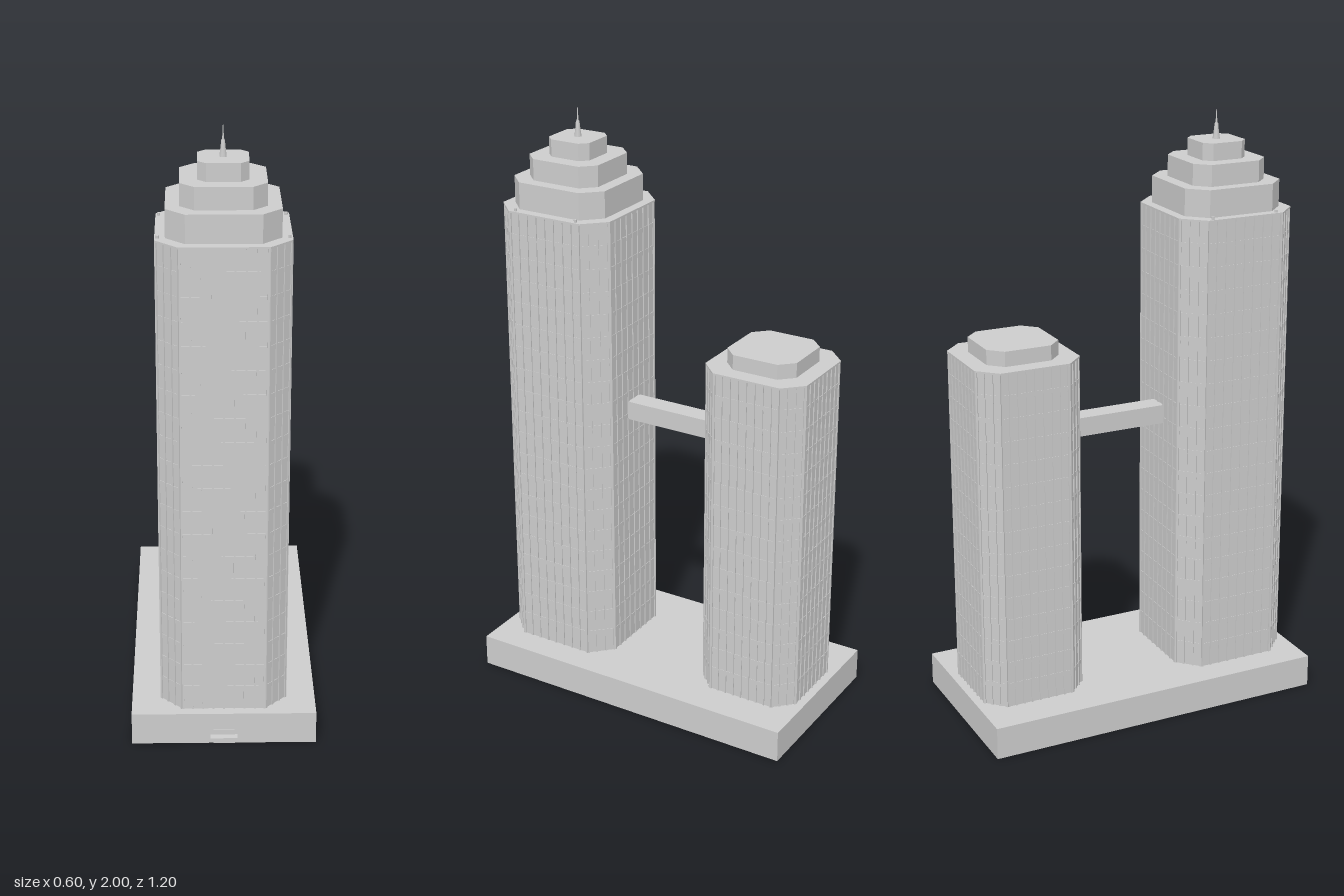
import * as THREE from 'three';
import { mergeGeometries } from 'three/addons/utils/BufferGeometryUtils.js';

// Double sided because the podium is an open shell underneath
const concrete = new THREE.MeshStandardMaterial({ color: 0xcccccc, side: THREE.DoubleSide });
concrete.name = 'concrete grey';

function add(parent, name, geometry, x = 0, y = 0, z = 0) {
  const mesh = new THREE.Mesh(geometry, concrete);
  mesh.name = name;
  mesh.position.set(x, y, z);
  parent.add(mesh);
  return mesh;
}

// Box given by its extents
function block(parent, name, x0, x1, y0, y1, z0, z1) {
  return add(parent, name, new THREE.BoxGeometry(x1 - x0, y1 - y0, z1 - z0),
    (x0 + x1) / 2, (y0 + y1) / 2, (z0 + z1) / 2);
}

// Square prism with chamfered corners, standing on y = 0
function chamferedPrism(half, chamfer, height) {
  const f = half - chamfer;
  const shape = new THREE.Shape([
    [f, -half], [half, -f], [half, f], [f, half],
    [-f, half], [-half, f], [-half, -f], [-f, -half],
  ].map(([x, y]) => new THREE.Vector2(x, y)));
  return new THREE.ExtrudeGeometry(shape, { depth: height, bevelEnabled: false }).rotateX(-Math.PI / 2);
}

// Shallow vertical ribs and floor bands on all eight sides of a shaft
function facade(half, chamfer, height, floors, depth) {
  const pieces = [];
  for (let side = 0; side < 8; side++) {
    const flat = side % 2 === 0;
    const width = flat ? 2 * (half - chamfer) : chamfer * Math.SQRT2;
    const distance = flat ? half : (2 * half - chamfer) / Math.SQRT2;
    const bays = flat ? 8 : 3;
    const bay = width / bays;
    const place = (w, h, d, x, y) => pieces.push(new THREE.BoxGeometry(w, h, d)
      .translate(x, y, distance + d / 2).rotateY(side * Math.PI / 4));
    for (let i = 0; i <= bays; i++) {
      const x = THREE.MathUtils.clamp(-width / 2 + i * bay, -width / 2 + 0.003, width / 2 - 0.003);
      place(0.006, height, depth, x, height / 2);
    }
    for (let j = 1; j < floors; j++) {
      place(width, 0.016, depth * 0.4, 0, j * height / floors);
    }
  }
  return mergeGeometries(pieces);
}

function tower(name, z, half, chamfer, y0, y1, floors) {
  const group = new THREE.Group();
  group.name = name;
  group.position.set(0, y0, z);
  const depth = 0.004, height = y1 - y0;
  add(group, 'shaft', chamferedPrism(half - depth, chamfer - 0.002, height));
  add(group, 'facadeRibs', facade(half - depth, chamfer - 0.002, height - 0.006, floors, depth));
  add(group, 'roofEdge', chamferedPrism(half, chamfer, 0.006), 0, height - 0.006, 0);
  return group;
}

export function createModel() {
  const model = new THREE.Group();
  model.name = 'twinTowers';

  // Podium: four walls and a roof, open underneath
  const podium = block(model, 'podium', -0.3, 0.3, 0, 0.11, -0.6, 0.577);
  const faces = Array.from(podium.geometry.index.array);
  faces.splice(18, 6); // drop the bottom face
  podium.geometry.setIndex(faces);
  podium.geometry.clearGroups();

  // Entrance
  block(model, 'door', -0.035, 0.035, 0, 0.05, 0.577, 0.5785);
  block(model, 'entranceCanopy', -0.044, 0.044, 0.029, 0.032, 0.577, 0.6);

  // Tall front tower with stepped crown
  model.add(tower('tallTower', 0.34, 0.207, 0.07, 0.11, 1.686, 20));
  const tiers = [
    [0.175, 0.06, 1.686, 1.776],
    [0.132, 0.045, 1.776, 1.847],
    [0.078, 0.026, 1.847, 1.904],
  ];
  for (const [half, chamfer, y0, y1] of tiers) {
    add(model, 'crownTier', chamferedPrism(half, chamfer, y1 - y0), 0, y0, 0.34);
  }

  // Small finials at the roof corners
  for (const x of [-0.197, 0.197]) {
    for (const z of [0.224, 0.456]) {
      add(model, 'roofFinial', new THREE.CylinderGeometry(0.005, 0.005, 0.01, 8), x, 1.69, z);
    }
  }

  // Spire: stout base and thin needle
  const spire = [[0.012, 0], [0.008, 0.03], [0.006, 0.05], [0.003, 0.054], [0.001, 0.096], [0, 0.096]]
    .map(([r, y]) => new THREE.Vector2(r, y));
  add(model, 'spire', new THREE.LatheGeometry(spire, 8, Math.PI / 8), 0, 1.904, 0.34);

  // Short rear tower
  model.add(tower('shortTower', -0.392, 0.181, 0.062, 0.11, 1.27, 15));
  add(model, 'roofBlock', chamferedPrism(0.124, 0.045, 0.05), 0, 1.27, -0.392);

  // Bridge between the towers
  block(model, 'skyBridge', -0.036, 0.036, 0.962, 1.026, -0.214, 0.136);

  return model;
}
